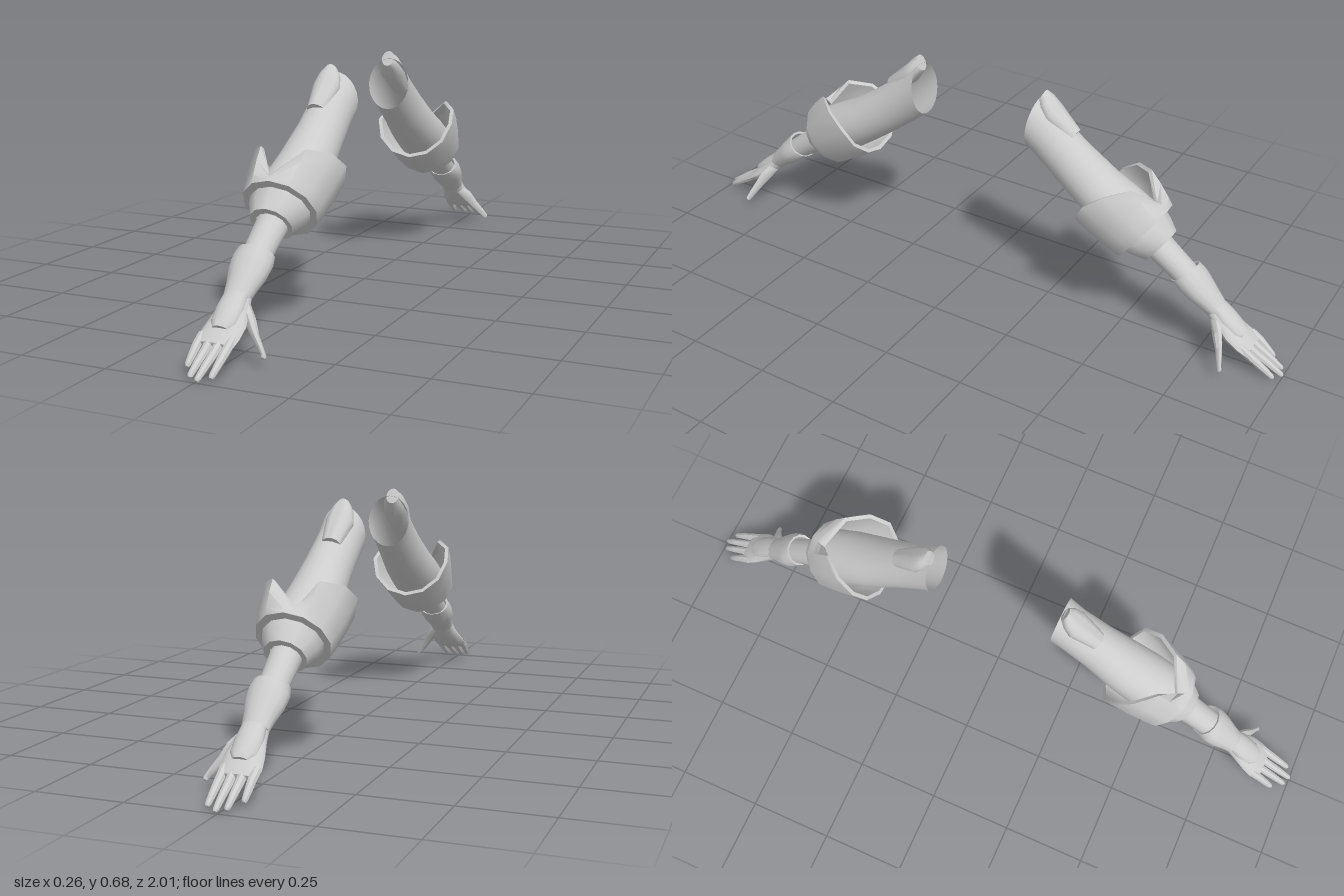
import * as THREE from 'three';
import { toCreasedNormals } from 'three/addons/utils/BufferGeometryUtils.js';

const grey = new THREE.MeshStandardMaterial({ color: 0xcccccc, side: THREE.DoubleSide });
grey.name = 'plainGrey';

// Arm space: x across, y towards the back of the hand, z from shoulder to fingertips
const ARM = new THREE.Matrix4().makeRotationX(Math.PI / 5).setPosition(0, 0.588, 0.198);
const TINY = 0.0005;

// An elliptical cross-section; tilt slides its lower side along the arm
function oval(z, rx, ry = rx, cx = 0, cy = 0, tilt = 0) {
  return a => {
    const y = ry * Math.cos(a);
    return [cx + rx * Math.sin(a), cy + y, z - tilt * y];
  };
}

// Skin over a list of cross-section functions
function loft(rows, sides) {
  const pos = [], index = [];
  rows.forEach((row, i) => {
    for (let j = 0; j < sides; j++) {
      pos.push(...row((j / sides) * Math.PI * 2));
      if (i === rows.length - 1) continue;
      const k = (j + 1) % sides;
      const a = i * sides + j, c = i * sides + k;
      const b = a + sides, d = c + sides;
      index.push(a, b, c, c, b, d);
    }
  });
  const geo = new THREE.BufferGeometry();
  geo.setAttribute('position', new THREE.Float32BufferAttribute(pos, 3));
  geo.setIndex(index);
  return geo;
}

// Linear lookup by angle from the top, in degrees, same on both sides
function byAngle(a, table) {
  let deg = (a * 180) / Math.PI;
  if (deg > 180) deg = 360 - deg;
  for (let i = 1; i < table.length; i++) {
    const [d0, v0] = table[i - 1], [d1, v1] = table[i];
    if (deg <= d1 + 0.01) return v0 + ((v1 - v0) * (deg - d0)) / (d1 - d0);
  }
  return table[table.length - 1][1];
}

// Cuff section: blend 0 is the notched rim, 1 the straight lower edge
function cuffRow(blend, bulge = 0, inset = 0) {
  const rimZ = [[0, 0.4], [30, 0.325], [60, 0.288], [90, 0.267], [180, 0.292]];
  const rimR = [[0, 0.088], [30, 0.133], [60, 0.132], [90, 0.129], [180, 0.119]];
  return a => {
    const r = THREE.MathUtils.lerp(byAngle(a, rimR), 0.106, blend) + bulge - inset;
    const z = THREE.MathUtils.lerp(byAngle(a, rimZ), 0.437, blend);
    const notch = a === 0 ? -0.018 * (1 - blend) : 0;
    return [r * Math.sin(a) + notch, r * Math.cos(a), z];
  };
}

// A finger through [x, y, z, radius] points, closed with a blunt tip
function finger(points) {
  const rows = points.map(([x, y, z, r]) => oval(z, r, r, x, y));
  const [x, y, z, r] = points[points.length - 1];
  rows.push(oval(z + 0.006, r * 0.6, r * 0.6, x, y), oval(z + 0.007, TINY, TINY, x, y));
  return loft(rows, 8);
}

function armParts() {
  const parts = {
    // Open sleeve, cut upright at the shoulder
    upperArm: loft([
      oval(0.0, 0.066, 0.07, -0.002, -0.01, 0.52),
      oval(0.05, 0.064, 0.069, -0.002, -0.013, 0.25),
      oval(0.15, 0.068, 0.07, 0, -0.015),
      oval(0.26, 0.079, 0.071, 0, -0.015),
      oval(0.34, 0.083, 0.076, 0, -0.008),
      oval(0.43, 0.08, 0.08),
    ], 24),
    shoulderPlate: loft([
      oval(-0.035, TINY, TINY, -0.01, 0.06, 0.2),
      oval(-0.034, 0.02, 0.024, -0.01, 0.061, 0.2),
      oval(-0.015, 0.033, 0.026, -0.01, 0.058, 0.1),
      oval(0.02, 0.041, 0.029, -0.01, 0.048),
      oval(0.107, 0.028, 0.026, -0.01, 0.041),
      oval(0.107, TINY, TINY, -0.01, 0.041),
    ], 16),
    // Thick notched cuff, outside then rim then inside
    elbowCuff: loft([
      cuffRow(0.98, 0, 0.024), cuffRow(0.4, 0.002, 0.013), cuffRow(0, 0, 0.012),
      cuffRow(0), cuffRow(0.4, 0.003), cuffRow(0.8, 0.002), cuffRow(1), cuffRow(1, 0, 0.022),
    ], 12),
    elbowRing: loft([
      oval(0.432, 0.088, 0.084), oval(0.46, 0.08, 0.075, 0, 0.002),
      oval(0.497, 0.06, 0.06, 0, 0.005), oval(0.495, 0.044, 0.042, 0, 0.003),
    ], 12),
    forearm: loft([
      oval(0.48, 0.045, 0.042), oval(0.55, 0.042, 0.038),
      oval(0.63, 0.04, 0.034), oval(0.7, 0.034, 0.027),
    ], 16),
    // Flared wrist guard, hollow at its upper rim
    wristGuard: loft([
      oval(0.64, 0.04, 0.033, 0, 0.002, -0.1),
      oval(0.598, 0.043, 0.038, 0, 0.006, -0.2),
      oval(0.596, 0.05, 0.045, 0, 0.006, -0.2),
      oval(0.625, 0.057, 0.043, 0, 0.004, -0.15),
      oval(0.66, 0.054, 0.039, 0, 0.001),
      oval(0.7, 0.043, 0.033, 0, -0.002),
      oval(0.735, 0.037, 0.027, 0, -0.005),
      oval(0.736, 0.03, 0.02, 0, -0.005),
    ], 14),
    palm: loft([
      oval(0.71, 0.034, 0.025, 0, -0.005),
      oval(0.76, 0.042, 0.024, 0.002, -0.012),
      oval(0.81, 0.054, 0.022, 0.002, -0.015),
      oval(0.85, 0.057, 0.018, -0.002, -0.014),
      oval(0.877, 0.053, 0.012, -0.003, -0.012),
      oval(0.882, TINY, TINY, -0.003, -0.012),
    ], 16),
    handPlate: loft([
      oval(0.724, TINY, TINY, 0, 0.005),
      oval(0.725, 0.033, 0.02, 0, 0.003),
      oval(0.77, 0.038, 0.022, 0, -0.001),
      oval(0.815, 0.036, 0.02, 0, -0.003),
      oval(0.836, 0.023, 0.017, 0, -0.003),
      oval(0.836, TINY, TINY, 0, -0.003),
    ], 14),
    thumb: finger([
      [0.022, -0.014, 0.74, 0.016], [0.046, -0.024, 0.775, 0.019],
      [0.068, -0.04, 0.808, 0.014], [0.09, -0.054, 0.834, 0.011], [0.106, -0.065, 0.853, 0.008],
    ]),
  };
  // Four fingers: base x, tip x, tip z, tip height
  const fingers = [
    [-0.046, -0.047, 0.94, -0.014], [-0.017, -0.019, 0.975, -0.003],
    [0.011, 0.006, 0.985, 0.0], [0.038, 0.035, 0.968, -0.006],
  ];
  ['littleFinger', 'ringFinger', 'middleFinger', 'indexFinger'].forEach((name, i) => {
    const [x0, x1, z1, y1] = fingers[i];
    const z0 = 0.848, mix = THREE.MathUtils.lerp;
    parts[name] = finger([
      [x0, -0.013, z0, 0.013],
      [mix(x0, x1, 0.4), -0.01, mix(z0, z1, 0.4), 0.012],
      [mix(x0, x1, 0.7), mix(-0.01, y1, 0.6), mix(z0, z1, 0.7), 0.0105],
      [x1, y1, z1, 0.008],
    ]);
  });
  return parts;
}

// One arm pointing to the front, or reflected to the back
function buildArm(name, reflected) {
  const arm = new THREE.Group();
  arm.name = name;
  for (const [part, geo] of Object.entries(armParts())) {
    geo.applyMatrix4(ARM);
    if (reflected) {
      geo.scale(1, 1, -1);
      geo.setIndex(Array.from(geo.index.array).reverse());
    }
    const mesh = new THREE.Mesh(toCreasedNormals(geo, 0.75), grey);
    mesh.name = part;
    arm.add(mesh);
  }
  return arm;
}

export function createModel() {
  const model = new THREE.Group();
  model.name = 'armouredArms';
  model.add(buildArm('frontArm', false), buildArm('backArm', true));
  return model;
}
